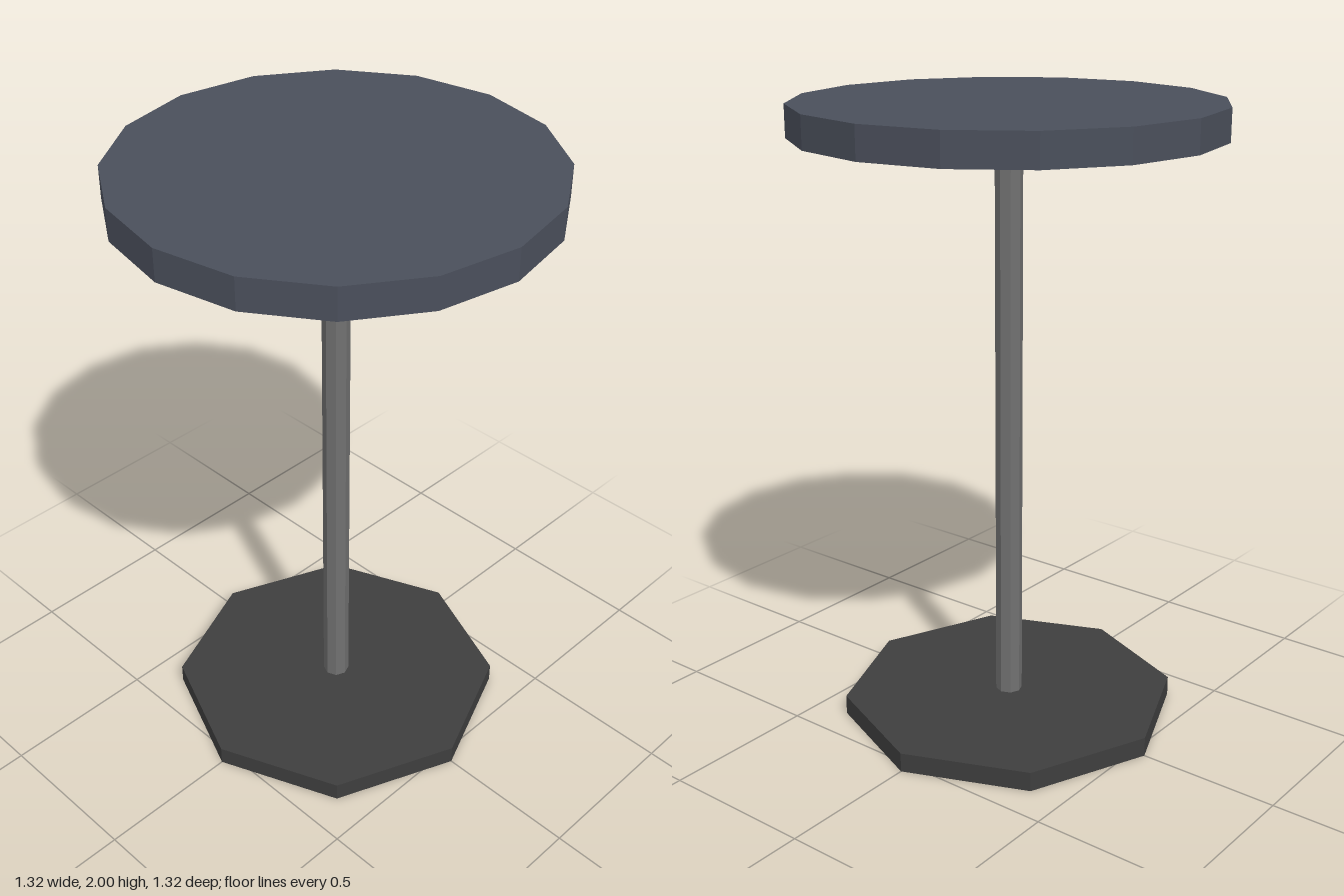
import * as THREE from 'three';

export function createModel() {
  const group = new THREE.Group();
  const material = (name, color) => {
    const m = new THREE.MeshStandardMaterial({ color, flatShading: true });
    m.name = name;
    return m;
  };

  // Upright faceted disc or post standing between two heights
  const addCylinder = (name, radius, bottom, top, sides, mat) => {
    const mesh = new THREE.Mesh(new THREE.CylinderGeometry(radius, radius, top - bottom, sides), mat);
    mesh.name = name;
    mesh.position.y = (bottom + top) / 2;
    group.add(mesh);
  };

  addCylinder('base', 0.543, 0, 0.063, 8, material('dark grey', 0x3e3e3e));
  addCylinder('pole', 0.043, 0.05, 1.91, 8, material('mid grey', 0x707070));
  addCylinder('tableTop', 0.658, 1.9, 2, 16, material('slate blue', 0x4a4f5b));

  return group;
}
